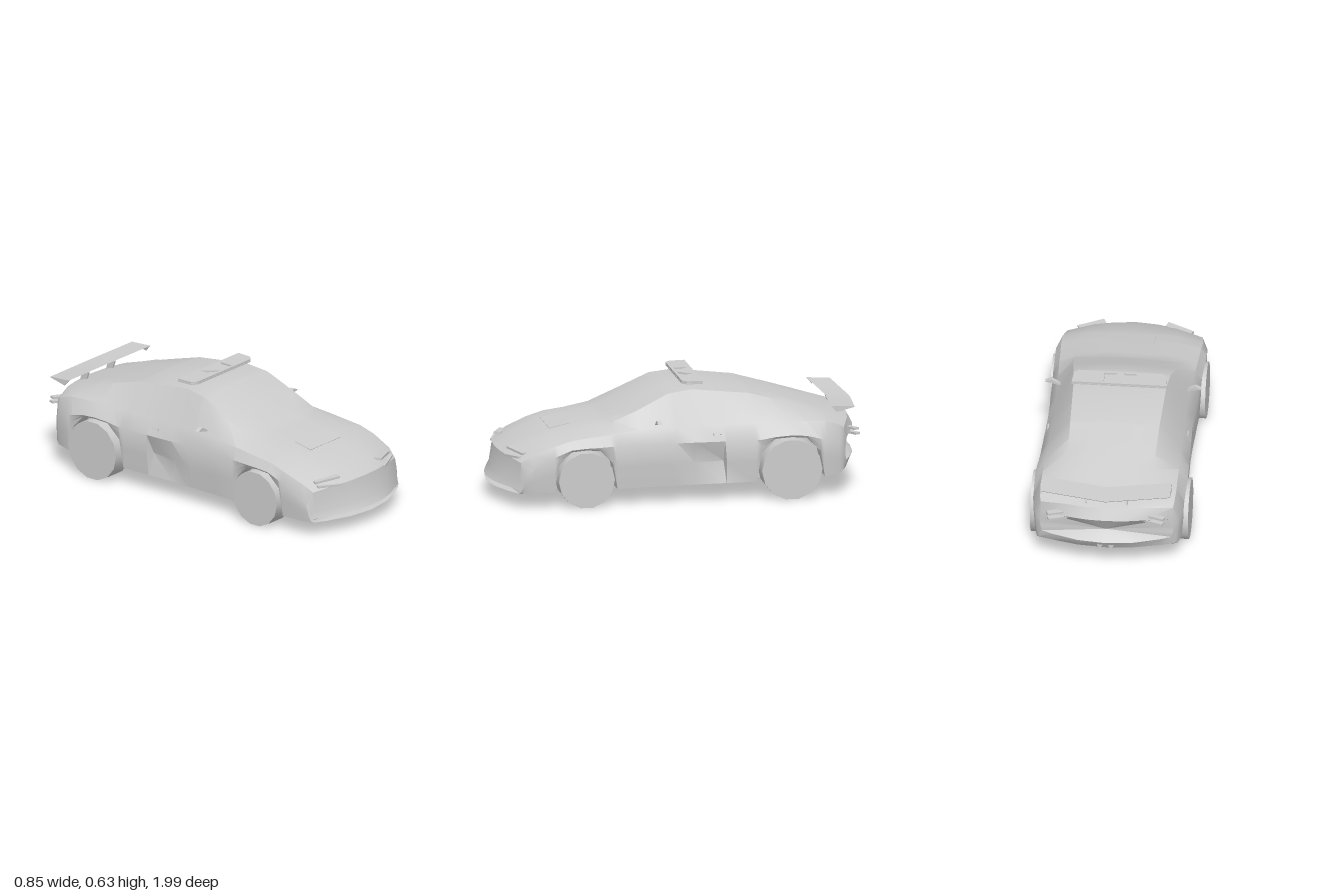
import * as THREE from 'three';
import { toCreasedNormals } from 'three/addons/utils/BufferGeometryUtils.js';

const material = new THREE.MeshStandardMaterial({ color: 0xcccccc, side: THREE.DoubleSide });

// z, floor y, widest x, its y, belt x, belt y, roof-edge x, roof-edge y, centre y
const STATIONS = [
  [0.99, 0.085, 0.37, 0.098, 0.35, 0.105, 0.20, 0.11, 0.11],
  [0.965, 0.085, 0.375, 0.12, 0.35, 0.14, 0.20, 0.15, 0.15],
  [0.945, 0.085, 0.38, 0.18, 0.345, 0.25, 0.23, 0.265, 0.272],
  [0.85, 0.085, 0.39, 0.22, 0.365, 0.29, 0.22, 0.322, 0.325],
  [0.70, 0.09, 0.40, 0.28, 0.378, 0.335, 0.24, 0.372, 0.378],
  [0.60, 0.09, 0.405, 0.32, 0.376, 0.365, 0.25, 0.393, 0.40],
  [0.38, 0.093, 0.40, 0.33, 0.368, 0.39, 0.28, 0.427, 0.44],
  [0.22, 0.095, 0.395, 0.33, 0.36, 0.405, 0.28, 0.495, 0.515],
  [0.05, 0.095, 0.39, 0.33, 0.354, 0.41, 0.262, 0.575, 0.592],
  [-0.08, 0.097, 0.39, 0.33, 0.35, 0.412, 0.25, 0.592, 0.605],
  [-0.40, 0.10, 0.40, 0.33, 0.355, 0.417, 0.24, 0.555, 0.57],
  [-0.60, 0.11, 0.41, 0.34, 0.362, 0.42, 0.235, 0.498, 0.51],
  [-0.80, 0.115, 0.405, 0.32, 0.365, 0.412, 0.24, 0.436, 0.445],
  [-0.92, 0.125, 0.39, 0.29, 0.36, 0.385, 0.22, 0.408, 0.41],
  [-0.965, 0.14, 0.38, 0.27, 0.355, 0.37, 0.22, 0.393, 0.395],
  [-0.998, 0.19, 0.36, 0.25, 0.335, 0.31, 0.20, 0.33, 0.335],
];
const AXLES = [{ name: 'front', z: 0.52, r: 0.153, x: 0.417 }, { name: 'rear', z: -0.6, r: 0.165, x: 0.425 }];
const ARCH = [[0, 0.318], [0.08, 0.312], [0.15, 0.24], [0.175, 0.09]];

// Straight-line lookup in a table whose first column rises or falls
function lookup(table, v) {
  for (let i = 1; i < table.length; i++) {
    const a = table[i - 1], b = table[i], t = (v - a[0]) / (b[0] - a[0]);
    if (t >= 0 && t <= 1) return a.map((q, k) => q + (b[k] - q) * t);
  }
  return null;
}

// Height of the lower body edge: floor level, or higher over a wheel
function lowerEdge(z, floor) {
  for (const { z: cz, r } of AXLES) {
    const s = r / 0.155, hit = lookup(ARCH, Math.abs(z - cz) / s);
    if (hit) return Math.max(floor, hit[1] * s);
  }
  return floor;
}

// Nose and tail sweep back towards the corners
function sweep(x, z) {
  const f = Math.max(0, (z - 0.65) / 0.33), b = Math.max(0, (-0.75 - z) / 0.24);
  return z + (0.1 * b * b - 0.12 * f * f) * (x / 0.38) ** 2;
}

function section(z) {
  const [, floor, w, wy, bx, by, rx, ry, cy] = lookup(STATIONS, z);
  const edge = lowerEdge(z, floor), my = Math.max(wy, edge + 0.012);
  // Door scoop deepens rearwards, then ends abruptly
  const scoop = z < 0.02 && z > -0.245 ? 0.05 * (0.02 - z) / 0.26 : 0;
  const half = [
    [0, floor], [0.15, floor], [0.29, floor], [0.29, edge], [w - 0.012, edge],
    [w - 0.004 - scoop, edge + (my - edge) * 0.5], [w, my], [bx, by], [rx, ry],
    [rx * 0.5, ry + (cy - ry) * 0.65], [0, cy],
  ];
  const mirrored = half.slice(1, -1).reverse().map(([x, y]) => [-x, y]);
  return [...half, ...mirrored].map(([x, y]) => [x, y, sweep(x, z)]);
}

// Skin through closed rings running from front to back, with end caps
function loft(rings, crease = 0.55) {
  const n = rings[0].length, pos = rings.flat(2), index = [];
  for (let i = 0; i < rings.length - 1; i++) {
    for (let j = 0; j < n; j++) {
      const a = i * n + j, b = i * n + (j + 1) % n;
      index.push(a, a + n, b, b, a + n, b + n);
    }
  }
  [0, rings.length - 1].forEach((r, end) => {
    const c = pos.length / 3;
    for (let k = 0; k < 3; k++) pos.push(rings[r].reduce((s, p) => s + p[k], 0) / n);
    for (let j = 0; j < n; j++) {
      const a = r * n + j, b = r * n + (j + 1) % n;
      index.push(c, end ? b : a, end ? a : b);
    }
  });
  const g = new THREE.BufferGeometry();
  g.setAttribute('position', new THREE.Float32BufferAttribute(pos, 3));
  g.setIndex(index);
  return toCreasedNormals(g, crease);
}

function shapeOf(points) {
  return new THREE.Shape(points.map(([x, y]) => new THREE.Vector2(x, y)));
}

function extrude(shape, depth) {
  return new THREE.ExtrudeGeometry(shape, { depth, bevelEnabled: false });
}

export function createModel() {
  const model = new THREE.Group();
  const add = (name, geometry, x = 0, y = 0, z = 0, rx = 0, ry = 0, rz = 0) => {
    const mesh = new THREE.Mesh(geometry, material);
    mesh.name = name;
    mesh.position.set(x, y, z);
    mesh.rotation.set(rx, ry, rz);
    model.add(mesh);
    return mesh;
  };

  // Body, with extra sections at the wheel arches and scoop
  const zs = STATIONS.map((s) => s[0]).concat([0.02, -0.24, -0.25]);
  for (const { z, r } of AXLES) {
    for (const [d] of ARCH) zs.push(z + d * r / 0.155, z - d * r / 0.155);
  }
  const sorted = [...new Set(zs)].sort((a, b) => b - a);
  add('body', loft(sorted.map(section)));

  // Wheels
  for (const { name, z, r, x } of AXLES) {
    for (const s of [1, -1]) {
      const wheel = new THREE.CylinderGeometry(r, r, x - 0.298, 14).rotateZ(Math.PI / 2);
      add(name + 'Wheel', toCreasedNormals(wheel, 0.6), s * (x + 0.298) / 2, r, z);
    }
  }

  // Rear wing: thin swept blade with drooping tips
  const blade = [-0.345, -0.335, -0.17, 0, 0.17, 0.335, 0.345].map((x) => {
    const t = Math.abs(x) / 0.345, y = 0.45 + 0.022 * t, z = -0.868 + 0.04 * t;
    const tip = t > 0.99 ? 0.025 : 0;
    return [[x, y + 0.016, z], [x, y + 0.006 - tip, z - 0.03], [x, y + 0.004, z - 0.125], [x, y + 0.009, z - 0.128]];
  });
  add('rearWing', loft(blade));
  for (const s of [1, -1]) {
    add('wingSupport', new THREE.BoxGeometry(0.012, 0.07, 0.04), s * 0.11, 0.428, -0.91, 0.3);
  }

  // Roof light bar: base plate under a top plate with two wedge-shaped recesses
  const outline = [[-0.255, 0.145], [0.255, 0.145], [0.25, 0.06], [0.225, 0.035], [-0.225, 0.035], [-0.25, 0.06]];
  const top = shapeOf(outline);
  for (const s of [1, -1]) {
    top.holes.push(shapeOf([[s * 0.012, 0.05], [s * 0.085, 0.13], [s * 0.085, 0.05]]));
  }
  const bar = new THREE.Group();
  bar.name = 'lightBar';
  [[shapeOf(outline), 0.006, 0.619], [top, 0.01, 0.626]].forEach(([shape, depth, y], i) => {
    const mesh = add(i ? 'lightBarTop' : 'lightBarBase', extrude(shape, depth), 0, y, 0, -Math.PI / 2);
    bar.add(mesh);
  });
  model.add(bar);

  // Parts in left and right pairs
  for (const s of [1, -1]) {
    const mirror = shapeOf([[s * 0.335, 0.425], [s * 0.355, 0.442], [s * 0.388, 0.46], [s * 0.42, 0.444], [s * 0.38, 0.436]]);
    add('doorMirror', extrude(mirror, 0.025), 0, 0, 0.108);
    add('headlightUpper', new THREE.BoxGeometry(0.15, 0.012, 0.04), s * 0.235, 0.296, 0.865, 0, s * 0.4, s * -0.07);
    add('headlightLower', new THREE.BoxGeometry(0.14, 0.011, 0.04), s * 0.24, 0.268, 0.885, 0, s * 0.4, s * 0.07);
    add('tailLightUpper', new THREE.BoxGeometry(0.14, 0.012, 0.03), s * 0.25, 0.345, -0.945, 0, s * 0.4, s * 0.06);
    add('tailLightLower', new THREE.BoxGeometry(0.13, 0.012, 0.03), s * 0.25, 0.318, -0.955, 0, s * 0.4, s * 0.06);
    add('exhaust', new THREE.CylinderGeometry(0.018, 0.018, 0.05, 3).rotateX(Math.PI / 2), s * 0.03, 0.16, -0.96);
    add('doorHandle', new THREE.BoxGeometry(0.01, 0.012, 0.04), s * 0.378, 0.37, -0.2, 0, 0, s * 0.4);
  }

  // Bonnet panel
  add('bonnetPanel', new THREE.BoxGeometry(0.254, 0.008, 0.11), 0, 0.393, 0.615, 0.2);
  return model;
}
